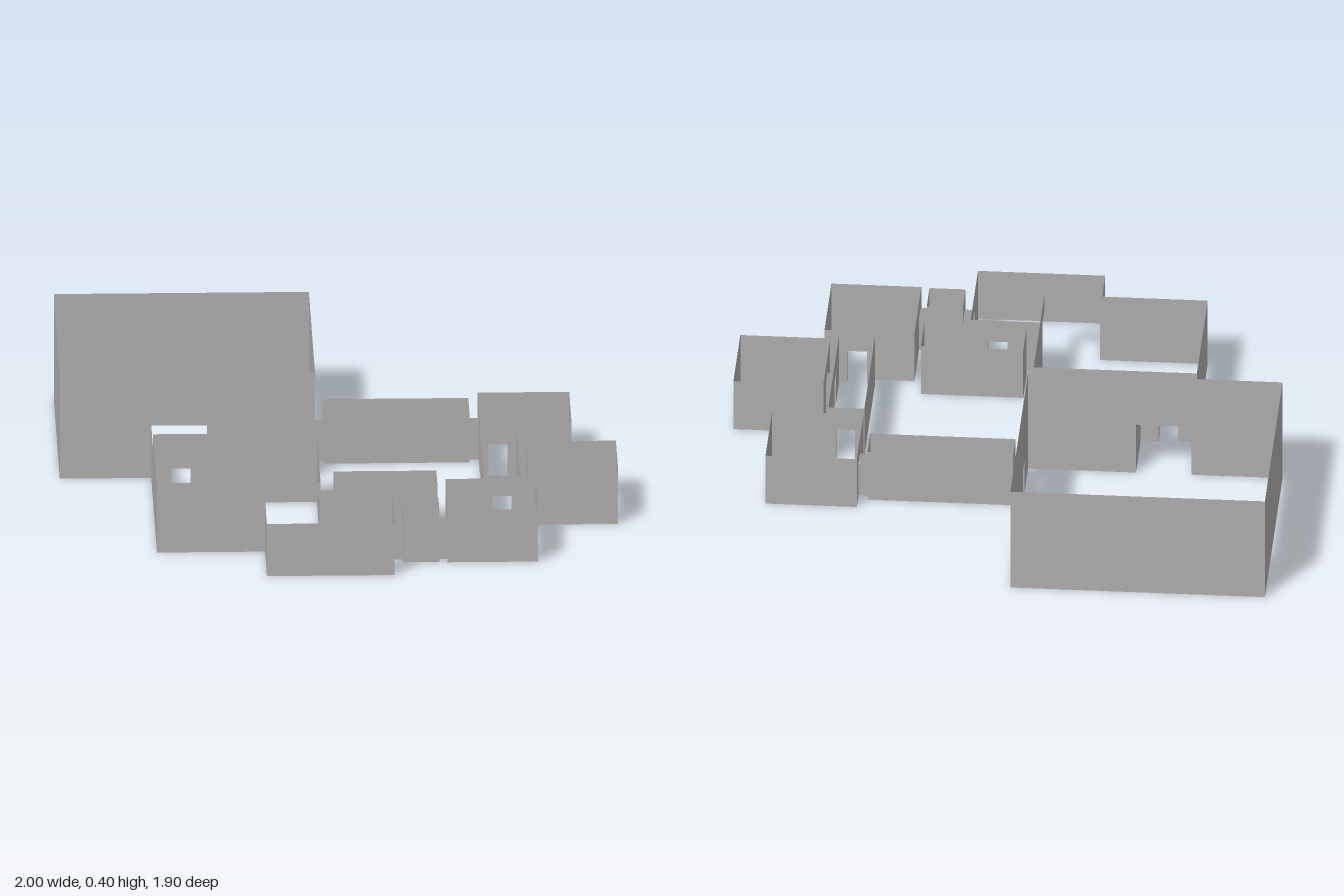
import * as THREE from 'three';

const DOOR_W = 0.07, DOOR_H = 0.133, LOW = 0.2;

export function createModel() {
  const model = new THREE.Group();
  const plaster = new THREE.MeshStandardMaterial({ color: 0xb2afb0, side: THREE.DoubleSide });
  plaster.name = 'grey plaster';

  // One upright sheet. axis 'x' runs along x at z = at; axis 'z' runs along z at x = at.
  function sheet(parent, name, axis, at, a, b, y0, y1) {
    if (b - a < 1e-4 || y1 - y0 < 1e-4) return;
    const mesh = new THREE.Mesh(new THREE.PlaneGeometry(b - a, y1 - y0), plaster);
    const mid = (a + b) / 2, y = (y0 + y1) / 2;
    if (axis === 'x') mesh.position.set(mid, y, at);
    else { mesh.position.set(at, y, mid); mesh.rotation.y = Math.PI / 2; }
    mesh.name = name;
    parent.add(mesh);
  }

  // A wall with an optional opening [from, to, height]
  function wall(parent, name, axis, at, a, b, h, gap) {
    if (!gap) return sheet(parent, name, axis, at, a, b, 0, h);
    sheet(parent, name, axis, at, a, gap[0], 0, h);
    sheet(parent, name, axis, at, gap[1], b, 0, h);
    sheet(parent, name + 'Lintel', axis, at, gap[0], gap[1], gap[2], h);
  }

  const door = (c) => [c - DOOR_W / 2, c + DOOR_W / 2, DOOR_H];

  // Four walls without floor or ceiling
  function room(name, x0, x1, z0, z1, h, gaps = {}) {
    const g = new THREE.Group();
    g.name = name;
    wall(g, 'backWall', 'x', z0, x0, x1, h, gaps.back);
    wall(g, 'frontWall', 'x', z1, x0, x1, h, gaps.front);
    wall(g, 'rightWall', 'z', x0, z0, z1, h, gaps.west);
    wall(g, 'leftWall', 'z', x1, z0, z1, h, gaps.east);
    model.add(g);
  }

  // Pair of jambs joining two doors; axis is the walking direction
  function doorway(name, axis, c, a, b) {
    const g = new THREE.Group();
    g.name = name;
    for (const s of [-1, 1]) sheet(g, 'jamb', axis, c + s * DOOR_W / 2, a, b, 0, DOOR_H);
    model.add(g);
  }

  // Great hall and its entrance lobby
  room('greatHall', -1, -0.08, -0.95, -0.1, 0.4, { front: [-0.67, -0.47, LOW], east: door(-0.3) });
  room('lobby', -0.67, -0.47, -0.1, 0.13, LOW, { back: [-0.67, -0.47, LOW], front: door(-0.57) });

  // Middle hall, opening at its corner into the front room
  room('middleHall', -0.67, -0.08, 0.17, 0.69, 0.265, {
    back: door(-0.57), front: [-0.28, -0.08, LOW], east: [0.6, 0.69, LOW],
  });
  room('frontRoom', -0.28, 0.18, 0.6, 0.95, LOW, {
    back: [-0.28, -0.08, LOW], west: [0.6, 0.69, LOW], east: door(0.75),
  });
  // The front room's back wall has a second door, set over the plain wall's span
  const frontRoom = model.getObjectByName('frontRoom');
  frontRoom.remove(...frontRoom.children.filter((m) => m.name === 'backWall'));
  wall(frontRoom, 'backWall', 'x', 0.6, -0.08, 0.18, LOW, door(0.08));

  // Small rooms
  room('storeRoom', -0.025, 0.345, 0.4, 0.565, LOW, { front: door(0.08) });
  room('closet', 0.215, 0.345, 0.685, 0.815, LOW, { west: door(0.75), east: door(0.75) });
  room('frontChamber', 0.375, 0.7, 0.49, 0.82, LOW, { west: door(0.75), back: door(0.58) });
  room('sideChamber', 0.675, 1, 0.1, 0.43, LOW, { west: door(0.265) });
  room('backChamber', 0.515, 0.845, -0.42, -0.1, LOW, { west: door(-0.3), front: door(0.58) });

  // Corridors
  room('backCorridor', -0.045, 0.48, -0.365, -0.235, LOW, { west: door(-0.3), east: door(-0.3) });
  room('sideCorridor', 0.515, 0.645, -0.06, 0.46, LOW, {
    back: door(0.58), front: door(0.58), east: door(0.265),
  });

  // Doorways across the gaps between rooms
  doorway('hallDoorway', 'x', -0.3, -0.08, -0.045);
  doorway('lobbyDoorway', 'z', -0.57, 0.13, 0.17);
  doorway('storeDoorway', 'z', 0.08, 0.565, 0.6);
  doorway('closetRightDoorway', 'x', 0.75, 0.18, 0.215);
  doorway('closetLeftDoorway', 'x', 0.75, 0.345, 0.375);
  doorway('frontChamberDoorway', 'z', 0.58, 0.46, 0.49);
  doorway('sideChamberDoorway', 'x', 0.265, 0.645, 0.675);
  doorway('backChamberDoorway', 'z', 0.58, -0.1, -0.06);
  doorway('corridorDoorway', 'x', -0.3, 0.48, 0.515);

  return model;
}
